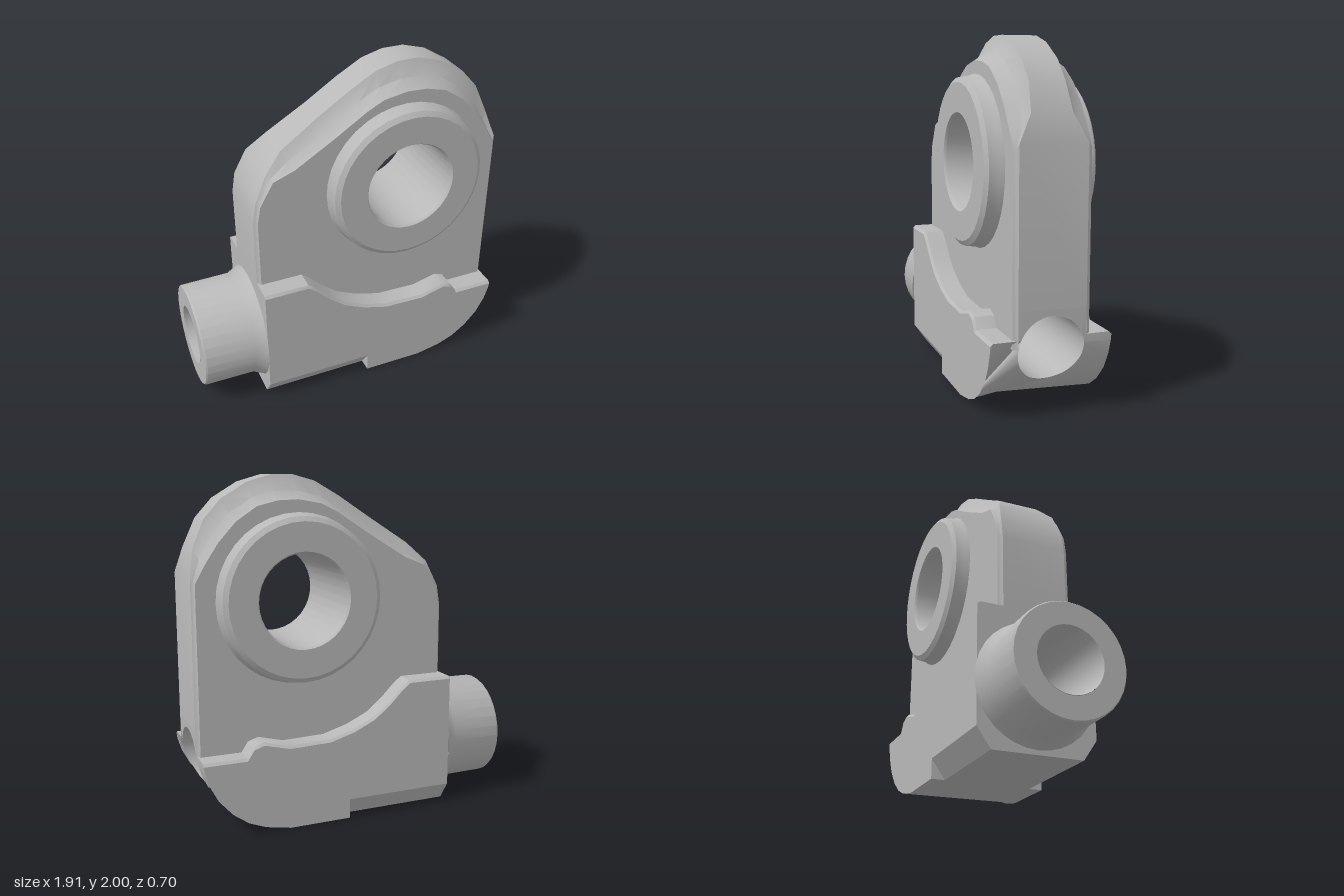
import * as THREE from 'three';
import { toCreasedNormals } from 'three/addons/utils/BufferGeometryUtils.js';

const steel = new THREE.MeshStandardMaterial({ color: 0xb8b8b8, side: THREE.DoubleSide });
steel.name = 'steel grey';

const HUB = { x: 0.34, y: 1.31 };
const BORE = { y: 0.38, r: 0.185 };
const LEFT = -0.58, JAW_Z = 0.34, FACE_Z = 0.215;

// Rounded lower corner of the body, from the base up to the end wall
const CORNER = [[0.45, 0], [0.6, 0.03], [0.7, 0.07], [0.79, 0.135], [0.87, 0.225], [0.92, 0.32], [0.945, 0.4], [0.95, 0.45], [0.955, 0.6]];

// Top edge of the side jaws
const JAW_TOP = [[LEFT, 0.8], [-0.31, 0.8], [-0.26, 0.76], [-0.18, 0.68], [-0.08, 0.6], [0.05, 0.54], [0.2, 0.497],
  [0.45, 0.49], [0.6, 0.53], [0.66, 0.51], [0.7, 0.45], [0.95, 0.45]];

// Plate outline: outer x, y, half thickness, then inner face x, y
const PLATE = [
  [-0.58, 0.4, 0.19, -0.56, 0.4], [-0.58, 0.8, 0.19, -0.56, 0.8], [-0.58, 1.22, 0.19, -0.56, 1.22],
  [-0.56, 1.34, 0.19, -0.54, 1.33], [-0.49, 1.49, 0.17, -0.46, 1.47], [-0.38, 1.6, 0.12, -0.33, 1.52],
  [-0.15, 1.75, 0.1, -0.1, 1.66], [0.05, 1.88, 0.1, 0.1, 1.79], [0.2, 1.965, 0.1, 0.2, 1.84],
  [0.33, 2.0, 0.1, 0.34, 1.865], [0.46, 2.0, 0.1, 0.46, 1.86], [0.6, 1.96, 0.1, 0.58, 1.83],
  [0.75, 1.87, 0.1, 0.7, 1.75], [0.85, 1.76, 0.1, 0.8, 1.64], [0.92, 1.6, 0.115, 0.88, 1.52],
  [0.955, 1.45, 0.19, 0.935, 1.42], [0.955, 0.6, 0.19, 0.935, 0.6], [0.955, 0.4, 0.19, 0.935, 0.4],
];

function mesh(name, geometry) {
  const m = new THREE.Mesh(toCreasedNormals(geometry, 0.6), steel);
  m.name = name;
  return m;
}

// Surface through rows of points
function loft(name, rows) {
  const n = rows[0].length, index = [];
  for (let r = 0; r < rows.length - 1; r++) {
    for (let i = 0; i < n - 1; i++) {
      const a = r * n + i, b = a + n;
      index.push(a, a + 1, b, a + 1, b + 1, b);
    }
  }
  const g = new THREE.BufferGeometry();
  g.setAttribute('position', new THREE.Float32BufferAttribute(rows.flat(2), 3));
  g.setIndex(index);
  return mesh(name, g);
}

// Flat outline with an optional round hole, each 2D point placed by a rule
function sheet(name, points, place, hole) {
  const shape = new THREE.Shape(points.map(([a, b]) => new THREE.Vector2(a, b)));
  if (hole) shape.holes.push(new THREE.Path().absarc(hole[0], hole[1], hole[2], 0, Math.PI * 2, true));
  const g = new THREE.ShapeGeometry(shape, 32);
  const p = g.attributes.position;
  for (let i = 0; i < p.count; i++) p.setXYZ(i, ...place(p.getX(i), p.getY(i)));
  return mesh(name, g);
}

function cornerX(y) {
  for (let i = 1; i < CORNER.length; i++) {
    const [x0, y0] = CORNER[i - 1], [x1, y1] = CORNER[i];
    if (y <= y1) return x0 + (x1 - x0) * (y - y0) / (y1 - y0);
  }
  return 0.955;
}

const mirrorLoop = (half) => [...half, ...half.map(([z, y]) => [-z, y]).reverse()];

// One side: plate face, shoulder and jaw
function makeSide(name) {
  const side = new THREE.Group();
  side.name = name;
  const lerp = THREE.MathUtils.lerp;
  side.add(
    loft('plateShoulder', [
      PLATE.map(([x, y, z]) => [x, y, z]),
      PLATE.map(([x, y, z, u, v]) => [lerp(x, u, 0.65), lerp(y, v, 0.65), lerp(z, FACE_Z, 0.35)]),
      PLATE.map(([, , , u, v]) => [u, v, FACE_Z]),
    ]),
    sheet('plateFace', PLATE.map((p) => [p[3], p[4]]), (x, y) => [x, y, FACE_Z], [HUB.x, HUB.y, 0.42]),
    loft('jawLedge', [
      JAW_TOP.map(([x, y]) => [x, y, 0.19]),
      JAW_TOP.map(([x, y]) => [x, y, JAW_Z - 0.015]),
      JAW_TOP.map(([x, y]) => [x, y - 0.015, JAW_Z]),
    ]),
    sheet('jawFace', [
      [LEFT, 0.115], [0.08, 0.115], [0.08, 0], ...CORNER.slice(0, -2),
      ...JAW_TOP.map(([x, y]) => [x, y - 0.015]).reverse(),
    ], (x, y) => [x, y, JAW_Z]),
    loft('baseChamfer', [
      [[LEFT, 0.115, JAW_Z], [0.08, 0.115, JAW_Z], [0.08, 0, JAW_Z]],
      [[LEFT, 0, 0.26], [0.08, 0, 0.26], [0.08, 0, 0.26]],
    ]),
  );
  return side;
}

export function createModel() {
  const model = new THREE.Group();
  model.name = 'clevisBracket';

  const front = makeSide('frontSide');
  const back = makeSide('backSide');
  back.scale.z = -1;
  model.add(front, back);

  // Rim around the upper plate
  const rim = PLATE.slice(1, -1);
  model.add(loft('plateRim', [rim.map(([x, y, z]) => [x, y, -z]), rim.map(([x, y, z]) => [x, y, z])]));

  // End walls pierced by the long bore, and the base
  const hole = [0, BORE.y, BORE.r];
  model.add(
    sheet('leftWall', mirrorLoop([[0.26, 0], [JAW_Z, 0.115], [JAW_Z, 0.785], [JAW_Z - 0.015, 0.8]]),
      (z, y) => [LEFT, y, z], hole),
    sheet('cornerWall', mirrorLoop([
      ...CORNER.slice(0, -2).map(([, y]) => [JAW_Z, y]),
      [JAW_Z, 0.435], [JAW_Z - 0.015, 0.45], [0.19, 0.45], [0.19, 0.6],
    ]), (z, y) => [cornerX(y), y, z], hole),
    sheet('base', [
      [LEFT, 0.26], [0.08, 0.26], [0.08, JAW_Z], [0.45, JAW_Z],
      [0.45, -JAW_Z], [0.08, -JAW_Z], [0.08, -0.26], [LEFT, -0.26],
    ], (x, z) => [x, 0, z]),
  );

  // Hub ring with its cross bore
  const half = [[0.265, 0.3], [0.275, 0.315], [0.44, 0.315], [0.468, 0.295], [0.475, 0.235], [0.49, 0.205]];
  const ring = [...half, ...half.map(([r, z]) => [r, -z]).reverse(), half[0]];
  const hub = mesh('hubRing', new THREE.LatheGeometry(ring.map(([r, z]) => new THREE.Vector2(r, z)), 36).rotateX(Math.PI / 2));
  hub.position.set(HUB.x, HUB.y, 0);
  model.add(hub);

  // Side socket with a flared foot
  const socketProfile = [[0.352, LEFT], [0.342, -0.6], [0.318, -0.65], [0.315, -0.95], [0.308, -0.96], [BORE.r, -0.96]];
  const socket = mesh('socket', new THREE.LatheGeometry(socketProfile.map(([r, x]) => new THREE.Vector2(r, x)), 32).rotateZ(-Math.PI / 2));
  socket.position.y = BORE.y - 0.003;
  model.add(socket);

  // Long bore, trimmed to the rounded corner
  const circle = (x) => Array.from({ length: 33 }, (_, i) => {
    const a = i / 32 * Math.PI * 2, y = BORE.y + BORE.r * Math.sin(a);
    return [x ?? cornerX(y), y, BORE.r * Math.cos(a)];
  });
  model.add(loft('longBore', [circle(-0.96), circle()]));

  return model;
}
